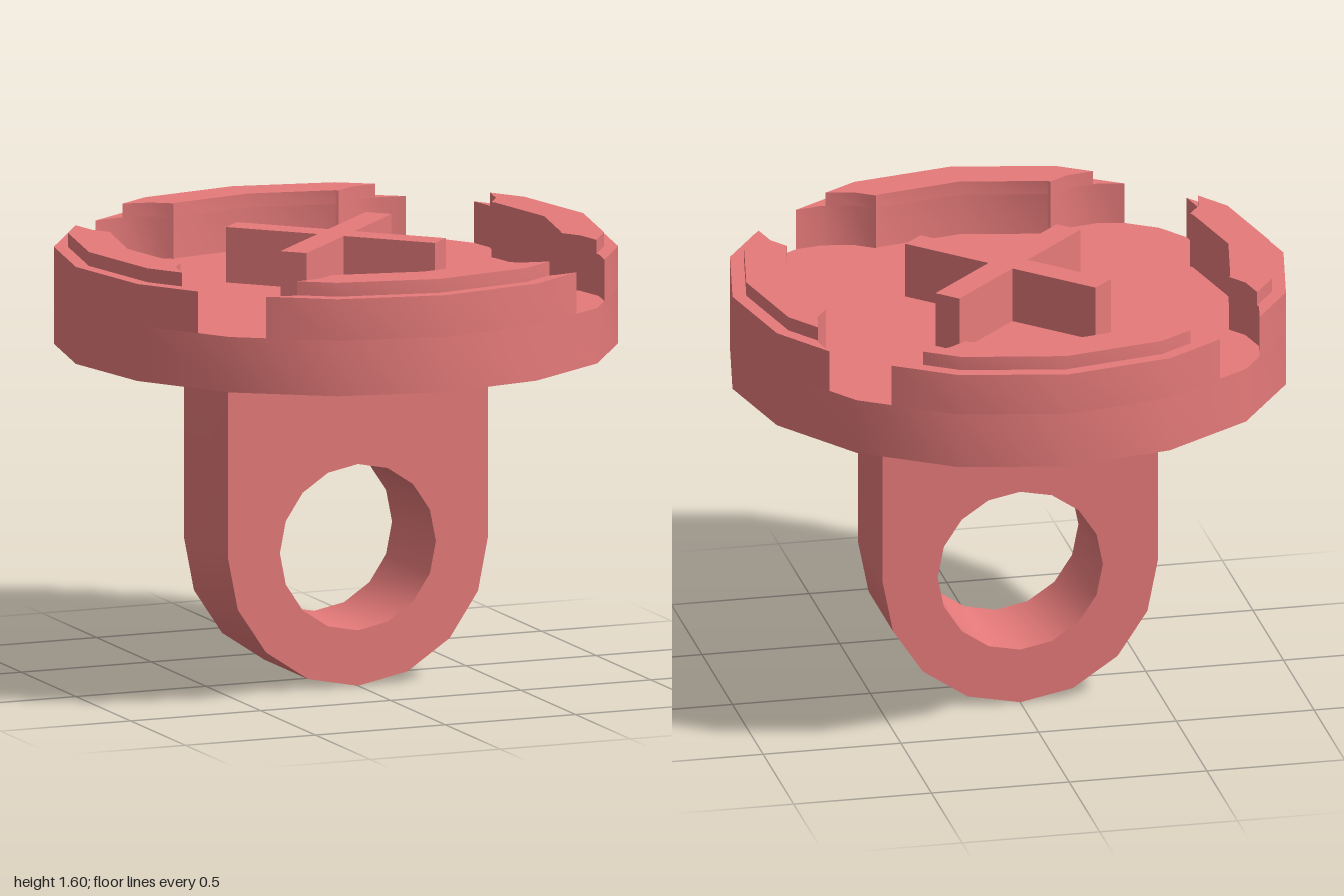
import * as THREE from 'three';
import { toCreasedNormals } from 'three/addons/utils/BufferGeometryUtils.js';

const SIDES = 16;
const material = new THREE.MeshStandardMaterial({ color: 0xe67a7a });

// Points on a 16-sided circle, from corner index a to b (index 0 lies on +x)
function arc(r, a, b, cx = 0, cy = 0) {
  const pts = [];
  const step = a < b ? 1 : -1;
  for (let i = a; i !== b + step; i += step) {
    const t = (i / SIDES) * Math.PI * 2;
    pts.push(new THREE.Vector2(cx + r * Math.cos(t), cy + r * Math.sin(t)));
  }
  return pts;
}

function part(name, shape, depth) {
  const geo = new THREE.ExtrudeGeometry(shape, { depth, bevelEnabled: false });
  const mesh = new THREE.Mesh(toCreasedNormals(geo, 0.5), material);
  mesh.name = name;
  return mesh;
}

// Extrude a plan outline upwards between two heights
function slab(name, shape, y0, y1) {
  const mesh = part(name, shape, y1 - y0);
  mesh.rotation.x = -Math.PI / 2;
  mesh.position.y = y0;
  return mesh;
}

// Close a half outline by mirroring it across its centre line
function mirrored(half) {
  const pts = half.map(([x, y]) => new THREE.Vector2(x, y));
  const other = pts.filter((p) => p.x > 0).reverse().map((p) => new THREE.Vector2(-p.x, p.y));
  return new THREE.Shape([...pts, ...other]);
}

export function createModel() {
  const model = new THREE.Group();
  model.name = 'lugCap';

  // Round plate
  model.add(slab('plate', new THREE.Shape(arc(1, 0, SIDES - 1)), 1.2, 1.4));

  // Four rim segments with scooped ends, each with a lower outer step
  const inner = [[0.385, 0.777], [0.317, 0.731], [0.306, 0.739], [0, 0.8]];
  const rimShape = mirrored([[0, 1], [0.383, 0.924], [0.597, 0.781], [0.5, 0.8], ...inner]);
  const ridgeShape = mirrored([[0, 0.95], [0.364, 0.878], [0.485, 0.797], ...inner]);
  for (let i = 0; i < 4; i++) {
    const segment = new THREE.Group();
    segment.name = 'rimSegment';
    segment.add(slab('rimWall', rimShape, 1.4, 1.55), slab('rimRidge', ridgeShape, 1.55, 1.6));
    segment.rotation.y = (i * Math.PI) / 2;
    model.add(segment);
  }

  // Raised diagonal cross in the middle
  const w = 0.05, l = 0.4;
  const crossPts = [];
  for (let i = 0; i < 4; i++) {
    for (const [x, y] of [[l, -w], [l, w], [w, w]]) {
      crossPts.push(new THREE.Vector2(x, y).rotateAround(new THREE.Vector2(), Math.PI / 4 + (i * Math.PI) / 2));
    }
  }
  model.add(slab('cross', new THREE.Shape(crossPts), 1.4, 1.6));

  // Hanging lug with a round eye
  const lugShape = new THREE.Shape([
    new THREE.Vector2(0.5, 1.2),
    new THREE.Vector2(-0.5, 1.2),
    ...arc(0.5, SIDES / 2, SIDES, 0, 0.5),
  ]);
  lugShape.holes.push(new THREE.Path(arc(0.3, SIDES - 1, 0, 0, 0.5)));
  const lug = part('lug', lugShape, 0.4);
  lug.position.z = -0.2;
  model.add(lug);

  return model;
}
